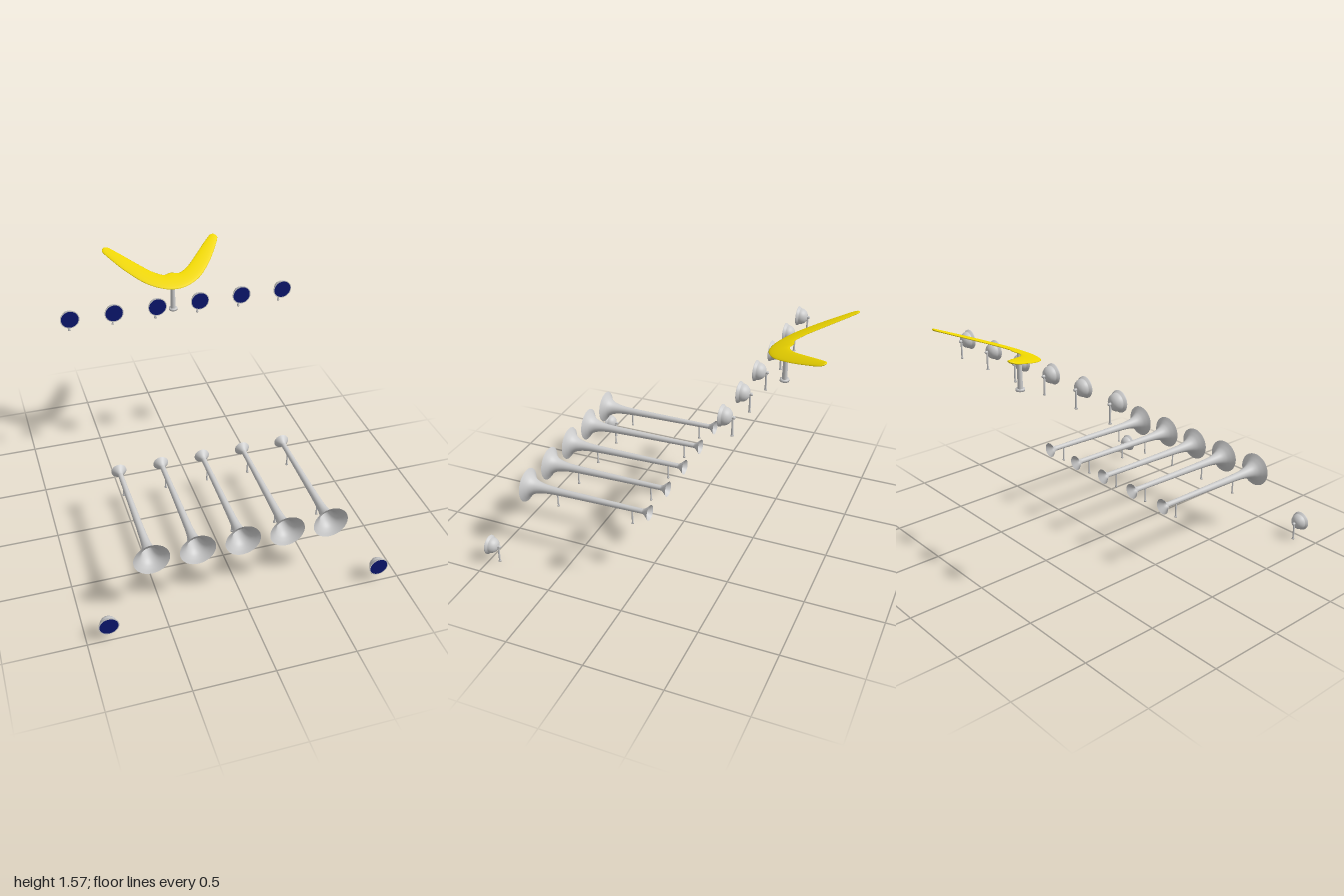
import * as THREE from 'three';

const grey = new THREE.MeshStandardMaterial({ color: 0xcccccc });
const greyOpen = new THREE.MeshStandardMaterial({ color: 0xcccccc, side: THREE.DoubleSide });
const blue = new THREE.MeshStandardMaterial({ color: 0x0c1670 });
const yellow = new THREE.MeshStandardMaterial({ color: 0xf0d800 });

const v2 = (list) => list.map(([a, b]) => new THREE.Vector2(a, b));

function add(parent, name, geometry, material, x = 0, y = 0, z = 0) {
  const mesh = new THREE.Mesh(geometry, material);
  mesh.name = name;
  mesh.position.set(x, y, z);
  parent.add(mesh);
  return mesh;
}

// Upright turned post with a small foot, from y0 up to y1
function addPost(parent, name, x, y0, y1, z, rBase, rTop, rFoot, footHeight) {
  const profile = v2([
    [0, 0], [rFoot, 0], [rFoot, footHeight], [rBase, footHeight],
    [rBase, footHeight], [rTop, y1 - y0], [0, y1 - y0],
  ]);
  add(parent, name, new THREE.LatheGeometry(profile, 16), grey, x, y0, z);
}

// Lathe profile whose axis is laid along +z
const latheZ = (points, segments) => new THREE.LatheGeometry(points, segments).rotateX(Math.PI / 2);

// Long flared horn, open at both ends, on two thin stands
const hornCurve = new THREE.SplineCurve(v2([
  [0.017, 0.035], [0.017, 0.1], [0.02, 0.35], [0.0245, 0.62], [0.03, 0.72],
  [0.042, 0.78], [0.06, 0.815], [0.085, 0.838], [0.112, 0.855],
]));
const hornGeometry = latheZ([...v2([[0.05, -0.008], [0.046, -0.003], [0.024, 0.022]]), ...hornCurve.getPoints(48)], 40);

function makeHorn(x) {
  const horn = new THREE.Group();
  horn.name = 'horn';
  const tube = add(horn, 'hornTube', hornGeometry, greyOpen, x, 0.443, 0);
  tube.rotation.x = 0.0116;
  addPost(horn, 'hornRearStand', x, 0.33, 0.428, 0.112, 0.005, 0.005, 0.008, 0.008);
  addPost(horn, 'hornFrontStand', x, 0.325, 0.418, 0.638, 0.005, 0.005, 0.008, 0.008);
  return horn;
}

// Domed lamp facing +z with a knob behind and a thin stand
const domeCurve = new THREE.SplineCurve(v2([
  [0.008, -0.065], [0.022, -0.062], [0.038, -0.051], [0.049, -0.034], [0.053, -0.016],
]));
const domeGeometry = latheZ([
  ...v2([[0, -0.084], [0.006, -0.082], [0.01, -0.076], [0.008, -0.069]]),
  ...domeCurve.getPoints(16),
  ...v2([[0.062, -0.006], [0.063, 0], [0.063, 0], [0.056, 0]]),
], 36);

function makeLamp(x, y, z) {
  const lamp = new THREE.Group();
  lamp.name = 'lamp';
  add(lamp, 'lampDome', domeGeometry, grey, x, y, z);
  add(lamp, 'lampFace', new THREE.CircleGeometry(0.057, 36), blue, x, y, z + 0.0005);
  addPost(lamp, 'lampStand', x, y - 0.115, y, z - 0.067, 0.006, 0.006, 0.009, 0.006);
  return lamp;
}

// Curved wing: lens-shaped sections lofted between the outer and inner edges
function makeWingGeometry() {
  const outer = [[0, -0.556], [0.09, -0.575], [0.19, -0.64], [0.29, -0.76], [0.365, -0.88], [0.4, -0.945], [0.403, -0.97], [0.388, -0.991]];
  const inner = [[0, -0.7], [0.055, -0.69], [0.125, -0.735], [0.205, -0.82], [0.29, -0.917], [0.338, -0.968], [0.355, -0.985], [0.378, -0.993]];
  const edge = (half) => new THREE.SplineCurve(v2([
    ...half.slice(1).reverse().map(([x, z]) => [-x, z]), ...half,
  ]));
  const a = edge(outer), b = edge(inner);
  const stations = 112, sides = 16;
  const positions = [], index = [];
  const plane = (z) => 1.415 + 0.345 * (-0.556 - z);
  for (let i = 0; i <= stations; i++) {
    const p = a.getPoint(i / stations), q = b.getPoint(i / stations);
    const thick = Math.min(0.007, p.distanceTo(q) * 0.2);
    for (let j = 0; j < sides; j++) {
      const t = (j / sides) * Math.PI * 2;
      const m = p.clone().lerp(q, 0.5 - 0.5 * Math.cos(t));
      positions.push(m.x, plane(m.y) + thick * Math.sin(t), m.y);
      if (i < stations) {
        const k = i * sides + j, n = i * sides + ((j + 1) % sides);
        index.push(k, k + sides, n, n, k + sides, n + sides);
      }
    }
  }
  // Close both tips
  const last = stations * sides;
  for (let j = 1; j < sides - 1; j++) {
    index.push(0, j, j + 1, last, last + j + 1, last + j);
  }
  const geometry = new THREE.BufferGeometry();
  geometry.setAttribute('position', new THREE.Float32BufferAttribute(positions, 3));
  geometry.setIndex(index);
  geometry.computeVertexNormals();
  return geometry;
}

export function createModel() {
  const model = new THREE.Group();
  model.name = 'hornAndLampSet';

  // Row of five horns
  for (let i = 0; i < 5; i++) model.add(makeHorn(0.007 + (i - 2) * 0.283));

  // Six raised lamps at the back, two low ones at the front corners
  for (let i = 0; i < 6; i++) model.add(makeLamp(0.003 + (i - 2.5) * 0.29, 1.324, -0.516));
  for (const x of [-0.864, 0.862]) model.add(makeLamp(x, 0.115, 1));

  // Wing on its post
  add(model, 'curvedWing', makeWingGeometry(), yellow);
  addPost(model, 'wingPost', 0, 1.213, 1.448, -0.654, 0.017, 0.013, 0.029, 0.014);

  return model;
}
